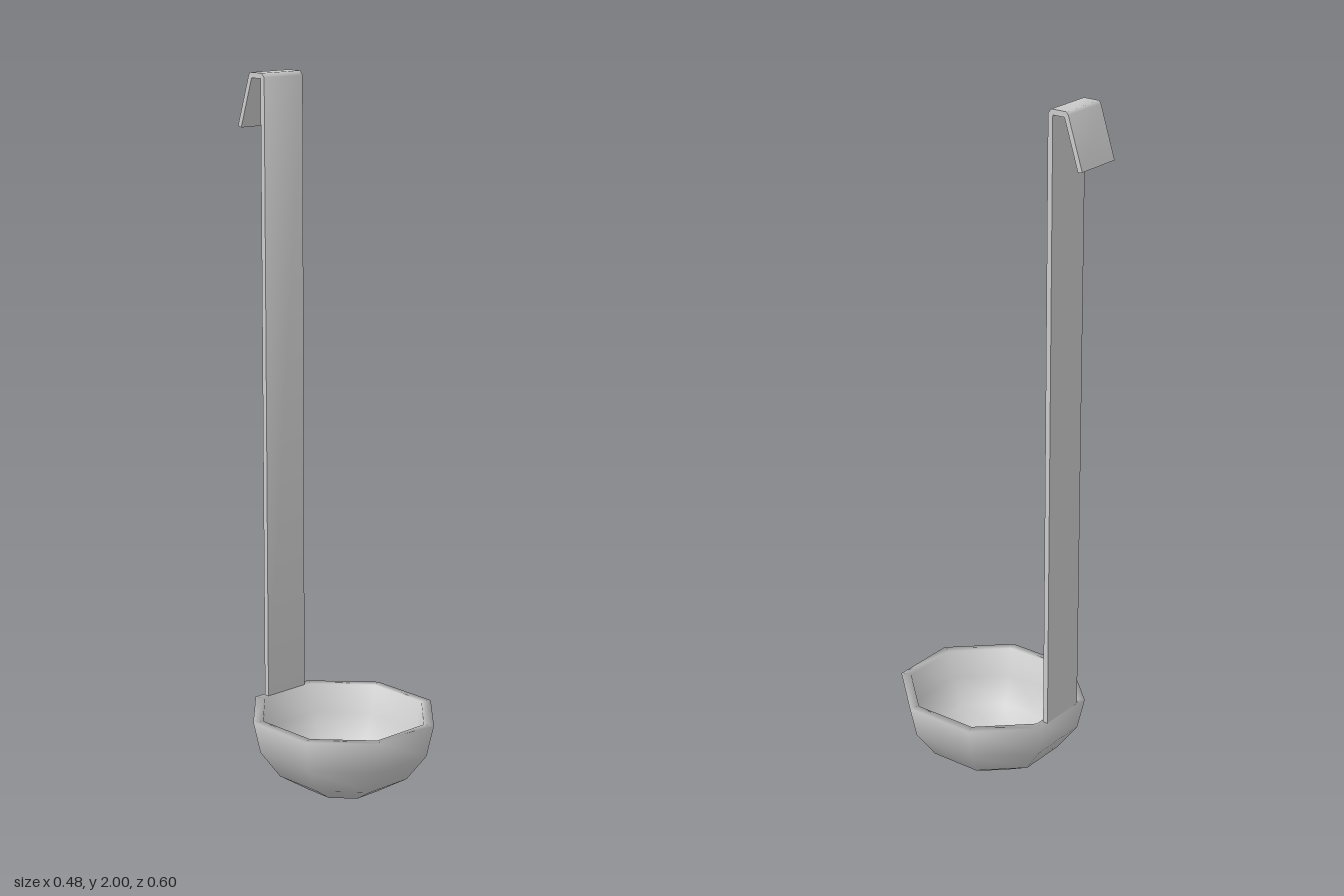
import * as THREE from 'three';
import { toCreasedNormals } from 'three/addons/utils/BufferGeometryUtils.js';

const material = new THREE.MeshStandardMaterial({ color: 0xcccccc });

// Eight-sided hemispherical shell: outer rings from the bottom up, over the rim, inner rings back down
function createBowl() {
  const rings = 4, height = 0.24, wall = 0.89;
  const profile = [];
  const addRing = (i, scale) => {
    const a = (i / rings) * Math.PI / 2;
    profile.push(new THREE.Vector2(Math.sin(a) * scale, height * (1 - Math.cos(a) * scale)));
  };
  for (let i = 0; i <= rings; i++) addRing(i, 1);
  for (let i = rings; i >= 0; i--) addRing(i, wall);

  const geometry = new THREE.LatheGeometry(profile, 8, Math.PI / 8);
  geometry.scale(0.262, 1, 0.278);
  const bowl = new THREE.Mesh(geometry, material);
  bowl.name = 'bowl';
  bowl.position.z = 0.043;
  return bowl;
}

// Flat strip whose side outline (z, y) bends over at the top into a hanging hook
function createHandle() {
  const outline = [
    [-0.208, 0.23], [-0.193, 0.23], [-0.193, 1.988], [-0.203, 2], [-0.25, 2],
    [-0.256, 1.992], [-0.301, 1.853], [-0.288, 1.849], [-0.244, 1.985], [-0.208, 1.985],
  ].map(([z, y]) => new THREE.Vector2(z, y));
  const width = 0.14;
  const strip = new THREE.ExtrudeGeometry(new THREE.Shape(outline), { depth: width, bevelEnabled: false });
  strip.translate(0, 0, -width / 2);
  strip.rotateY(-Math.PI / 2);
  const handle = new THREE.Mesh(toCreasedNormals(strip, Math.PI / 3), material);
  handle.name = 'hookedHandle';
  return handle;
}

export function createModel() {
  const ladle = new THREE.Group();
  ladle.name = 'ladle';
  ladle.add(createBowl(), createHandle());
  return ladle;
}
